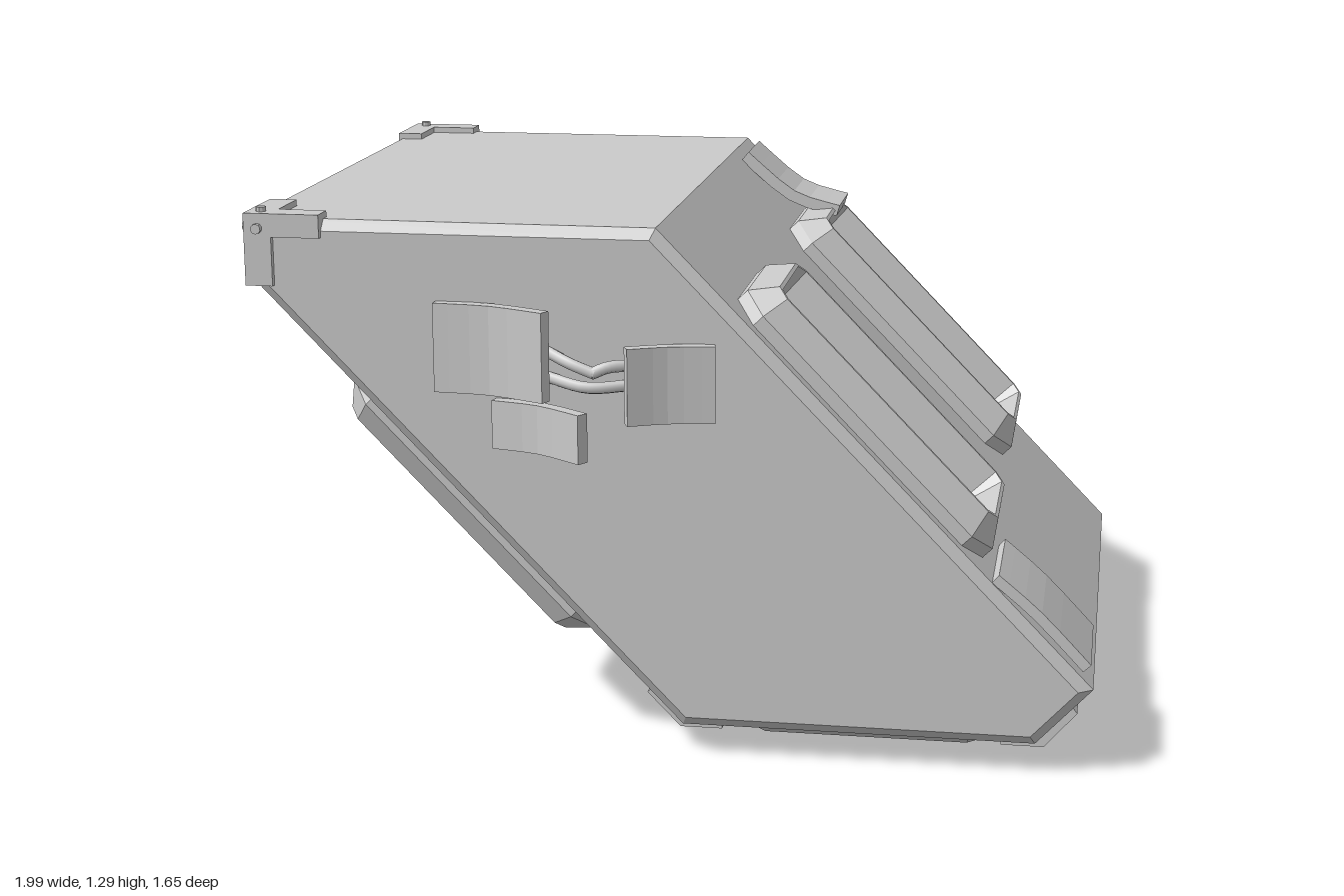
import * as THREE from 'three';

const flat = new THREE.MeshStandardMaterial({ color: 0xcccccc, flatShading: true, side: THREE.DoubleSide });
const smooth = new THREE.MeshStandardMaterial({ color: 0xcccccc });
const V = (x, y, z) => new THREE.Vector3(x, y, z);

function add(parent, name, geometry, material = flat) {
  const mesh = new THREE.Mesh(geometry, material);
  mesh.name = name;
  parent.add(mesh);
  return mesh;
}

const toShape = (pts) => new THREE.Shape(pts.map(([x, y]) => new THREE.Vector2(x, y)));

// box given by its min and max corners
function boxBetween(a, b) {
  const g = new THREE.BoxGeometry(b[0] - a[0], b[1] - a[1], b[2] - a[2]);
  return g.translate((a[0] + b[0]) / 2, (a[1] + b[1]) / 2, (a[2] + b[2]) / 2);
}

// raised window frame: eight-sided rings stepping up, over the rim and down to a floor
function frameGeometry(halfW, halfL, height) {
  const steps = [[0, -0.01], [0, 0.35 * height], [0.045, height], [0.055, height], [0.075, 0.005]];
  const rings = steps.map(([inset, h]) => {
    const w = halfW - inset, l = halfL - inset, c = 0.065 - inset * 0.75;
    return [[w, l - c], [w - c, l], [c - w, l], [-w, l - c], [-w, c - l], [c - w, -l], [w - c, -l], [w, c - l]]
      .map(([x, y]) => [x, y, h]);
  });
  const pos = [];
  for (let r = 0; r < rings.length; r++) {
    for (let i = 0; i < 8; i++) {
      const j = (i + 1) % 8, a = rings[r][i], b = rings[r][j];
      if (r < rings.length - 1) {
        const c = rings[r + 1][j], d = rings[r + 1][i];
        pos.push(...a, ...b, ...c, ...a, ...c, ...d);
      } else pos.push(...a, ...b, 0, 0, a[2]);
    }
  }
  const g = new THREE.BufferGeometry();
  g.setAttribute('position', new THREE.Float32BufferAttribute(pos, 3));
  g.computeVertexNormals();
  return g;
}

// bent sheet: a 2D path thickened to one side and extruded
function sheet(path, thickness, width) {
  const curve = new THREE.SplineCurve(path.map(([x, y]) => new THREE.Vector2(x, y)));
  const base = curve.getPoints(6);
  const outer = base.map((p, i) => {
    const t = curve.getTangent(i / 6);
    return new THREE.Vector2(p.x - t.y * thickness, p.y + t.x * thickness);
  });
  return new THREE.ExtrudeGeometry(new THREE.Shape([...base, ...outer.reverse()]), { depth: width, bevelEnabled: false });
}

export function createModel() {
  const model = new THREE.Group();
  model.name = 'slantedContainer';

  // slanted hull with narrow bevels along the front and back faces
  const bevel = 0.025;
  const profile = toShape([[-0.98, 1.26], [-0.98, 1.11], [0.03, 0.07], [0.86, 0.07], [0.99, 0.21], [-0.03, 1.26]]);
  const hull = new THREE.ExtrudeGeometry(profile, {
    depth: 1.5 - 2 * bevel, bevelSize: bevel, bevelThickness: bevel, bevelOffset: -bevel, bevelSegments: 1,
  });
  add(model, 'hull', hull.translate(0, 0, -0.81 + bevel));

  // window frames in pairs on both slopes and underneath
  const along = V(0.697, -0.717, 0), out = V(0.717, 0.697, 0);
  const frames = [
    ['rightSlopeFrame', V(-0.03, 1.26, 0).addScaledVector(along, 0.665), along, out, [0.41, -0.52], [0.22, 0.415, 0.09]],
    ['leftSlopeFrame', V(-0.98, 1.11, 0).addScaledVector(along, 0.735), along, out.clone().negate(), [0.41, -0.52], [0.22, 0.415, 0.09]],
    ['bottomFrame', V(0.45, 0.07, 0), V(1, 0, 0), V(0, -1, 0), [0.355, -0.465], [0.195, 0.32, 0.07]],
  ];
  for (const [name, centre, t, n, zs, size] of frames) {
    for (const z of zs) {
      const m = new THREE.Matrix4().makeBasis(t.clone().cross(n), t, n);
      m.setPosition(centre.x, centre.y, z);
      add(model, name, frameGeometry(...size).applyMatrix4(m));
    }
  }

  // three-armed corner brackets with bolts, mirrored front to back
  for (const side of [1, -1]) {
    const bracket = new THREE.Group();
    bracket.name = side > 0 ? 'frontBracket' : 'backBracket';
    const lo = [-0.99, 1.22, 0.695], hi = [-0.925, 1.275, 0.76];
    add(bracket, 'armAcross', boxBetween(lo, [-0.81, hi[1], hi[2]]));
    add(bracket, 'armDown', boxBetween([lo[0], 1.105, lo[2]], hi));
    add(bracket, 'armDeep', boxBetween([lo[0], lo[1], 0.56], hi));
    const bolts = [[V(-0.957, 1.24, 0.765), V(1, 0, 0), Math.PI / 2], [V(-0.957, 1.278, 0.727), V(0, 1, 0), 0],
      [V(-0.992, 1.24, 0.727), V(0, 0, 1), Math.PI / 2]];
    for (const [p, axis, angle] of bolts) {
      const bolt = add(bracket, 'bolt', new THREE.CylinderGeometry(0.012, 0.012, 0.016, 10));
      bolt.position.copy(p);
      bolt.setRotationFromAxisAngle(axis, angle);
    }
    bracket.scale.z = side;
    bracket.position.z = -0.055;
    model.add(bracket);
  }

  // angled clips wrapping the lower corners
  const clips = {
    rightClip: [[0.78, 0.075], [0.78, 0.053], [0.88, 0.053], [0.955, 0.14], [0.94, 0.16], [0.86, 0.075]],
    leftClip: [[0.12, 0.075], [0.12, 0.053], [0.02, 0.053], [-0.06, 0.135], [-0.045, 0.15], [0.03, 0.075]],
  };
  for (const [name, pts] of Object.entries(clips)) {
    for (const z of [0.39, -0.77]) {
      const g = new THREE.ExtrudeGeometry(toShape(pts), { depth: 0.25, bevelEnabled: false });
      add(model, name, g.translate(0, 0, z));
    }
  }

  // loose sheets on the right slope
  add(model, 'upperFlap', sheet([[-0.01, 1.235], [0.12, 1.13], [0.25, 1.09]], 0.03, 0.21).translate(0, 0, -0.74));
  add(model, 'lowerFlap', sheet([[0.75, 0.455], [0.85, 0.37], [0.965, 0.25]], 0.025, 0.29).translate(0, 0, 0.37));

  // torn sheets peeling off the front face: path in x and z, then base height and width
  const peels = [
    ['upperTornSheet', [[-0.54, 0.685], [-0.4, 0.70], [-0.26, 0.76]], 0.87, 0.21],
    ['lowerTornSheet', [[-0.4, 0.685], [-0.28, 0.72], [-0.165, 0.80]], 0.74, 0.115],
    ['sideTornSheet', [[-0.09, 0.745], [0, 0.705], [0.11, 0.685]], 0.82, 0.18],
  ];
  for (const [name, path, y, width] of peels) {
    const g = sheet(path.map(([x, z]) => [x, -z]), -0.03, width);
    add(model, name, g.rotateX(-Math.PI / 2).translate(0, y, 0));
  }

  // exposed cables between the torn sheets
  const cables = [
    [V(-0.28, 0.97, 0.69), V(-0.22, 0.95, 0.72), V(-0.16, 0.93, 0.73)],
    [V(-0.28, 0.91, 0.69), V(-0.18, 0.895, 0.72), V(-0.07, 0.9, 0.69)],
    [V(-0.17, 0.93, 0.73), V(-0.13, 0.945, 0.72), V(-0.06, 0.945, 0.69)],
  ];
  for (const pts of cables) {
    add(model, 'cable', new THREE.TubeGeometry(new THREE.CatmullRomCurve3(pts), 10, 0.014, 8), smooth);
  }
  return model;
}
